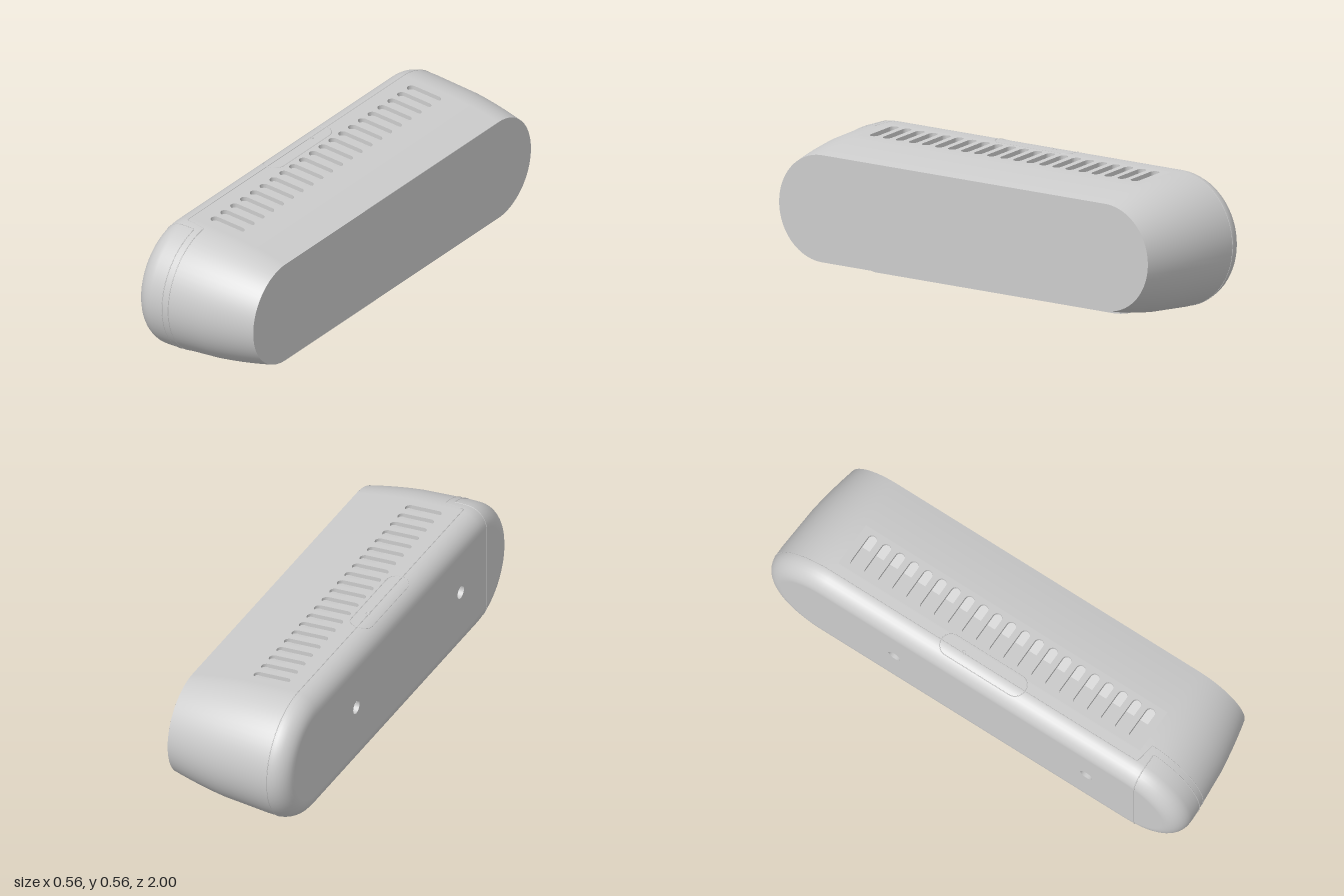
import * as THREE from 'three';

const R = 0.2765, CY = 0.2795, L = 0.7235;   // stadium section: radius, centre height, half straight length
const EDGE = 0.085, XB = -0.278, XF = 0.278; // back edge rounding, back and front planes
const XR = XB + EDGE;                        // where the rounding ends and the taper begins
const XA = -0.15, XC = 0.05;                 // span of the slotted panels
const PITCH = 0.0667, ARC = 32;

const mat = new THREE.MeshStandardMaterial({ color: 0xcccccc, side: THREE.DoubleSide });

const taper = x => 0.057 * ((x - XR) / (XF - XR)) ** 2;
const radius = x => {
  if (x < XR) return R - EDGE + Math.sqrt(Math.max(0, EDGE ** 2 - (x - XR) ** 2));
  if (x > XA && x < XC) return R - THREE.MathUtils.mapLinear(x, XA, XC, taper(XA), taper(XC));
  return R - taper(x);
};
const topY = x => CY + radius(x);
const bottomY = x => CY - radius(x);

function add(group, name, geometry) {
  const mesh = new THREE.Mesh(geometry, mat);
  mesh.name = name;
  group.add(mesh);
  return mesh;
}

// Stadium outline centred on (cx, cy); wide = straight run along the first axis
function stadium(cx, cy, half, r, wide, Type = THREE.Path) {
  const p = new Type(), q = Math.PI / 2;
  if (wide) {
    p.absarc(cx + half, cy, r, -q, q);
    p.absarc(cx - half, cy, r, q, 3 * q);
  } else {
    p.absarc(cx, cy + half, r, 0, 2 * q);
    p.absarc(cx, cy - half, r, 2 * q, 4 * q);
  }
  p.closePath();
  return p;
}

function circle(cx, cy, r) {
  return new THREE.Path().absarc(cx, cy, r, 0, Math.PI * 2);
}

function rect(x0, x1, halfZ) {
  return new THREE.Shape([[x0, -halfZ], [x1, -halfZ], [x1, halfZ], [x0, halfZ]].map(p => new THREE.Vector2(...p)));
}

// Horizontal plate from a shape in (x, -z), whose base follows yAt(x)
function plate(shape, depth, yAt) {
  const g = new THREE.ExtrudeGeometry(shape, { depth, bevelEnabled: false, curveSegments: 10 });
  g.rotateX(-Math.PI / 2);
  const p = g.attributes.position;
  for (let i = 0; i < p.count; i++) p.setY(i, p.getY(i) + yAt(p.getX(i)));
  g.computeVertexNormals();
  return g;
}

// Body skin: stadium rings along x, leaving the slotted panels open
function shellGeometry() {
  const rings = [];
  for (let i = 0; i <= 8; i++) {
    const a = i / 8 * Math.PI / 2;
    rings.push([XR - EDGE * Math.cos(a), -Math.cos(a), Math.sin(a)]);
  }
  for (const x of [XA, XC, 0.1, 0.15, 0.2, 0.24, XF]) {
    const slope = 2 * 0.057 * (x - XR) / (XF - XR) ** 2, len = Math.hypot(1, slope);
    rings.push([x, slope / len, 1 / len]);
  }
  const pos = [], nor = [], index = [], count = 2 * (ARC + 1);
  for (const [x, nx, nr] of rings) {
    for (let j = 0; j < count; j++) {
      const right = j <= ARC;
      const t = Math.PI * (right ? j / ARC : 1 + (j - ARC - 1) / ARC), r = radius(x);
      pos.push(x, CY + r * Math.cos(t), (right ? L : -L) + r * Math.sin(t));
      nor.push(nx, nr * Math.cos(t), nr * Math.sin(t));
    }
  }
  for (let i = 0; i < rings.length - 1; i++) {
    for (let j = 0; j < count; j++) {
      const flat = j === ARC || j === count - 1;
      if (flat && rings[i][0] === XA) continue;
      const k = (j + 1) % count, a = i * count + j, b = i * count + k;
      index.push(a, b, b + count, a, b + count, a + count);
    }
  }
  const g = new THREE.BufferGeometry();
  g.setAttribute('position', new THREE.Float32BufferAttribute(pos, 3));
  g.setAttribute('normal', new THREE.Float32BufferAttribute(nor, 3));
  g.setIndex(index);
  return g;
}

// Fine bead through straight-linked points
function bead(points, segments) {
  const path = new THREE.CurvePath();
  for (let i = 1; i < points.length; i++) {
    if (points[i].distanceTo(points[i - 1]) > 1e-5) path.add(new THREE.LineCurve3(points[i - 1], points[i]));
  }
  return new THREE.TubeGeometry(path, segments, 0.002, 5, false);
}

// Points over the rounded end on side s, from top to bottom
function endArc(x, s, t0 = 0) {
  return Array.from({ length: ARC + 1 }, (_, i) => {
    const t = t0 + (Math.PI - 2 * t0) * i / ARC, r = radius(x);
    return new THREE.Vector3(x, CY + r * Math.cos(t), s * (L + r * Math.sin(t)));
  });
}

export function createModel() {
  const model = new THREE.Group();
  model.name = 'speakerBody';
  add(model, 'shell', shellGeometry());

  // Flat front and back faces
  const face = new THREE.ShapeGeometry(stadium(0, CY, L, radius(XF), true, THREE.Shape), ARC);
  add(model, 'frontFace', face.rotateY(Math.PI / 2)).position.x = XF;
  const back = stadium(0, CY, L, radius(XB), true, THREE.Shape);
  const mounts = [-0.37, 0.55];
  for (const z of mounts) back.holes.push(circle(z, 0.295, 0.028));
  add(model, 'backFace', new THREE.ShapeGeometry(back, ARC).rotateY(-Math.PI / 2)).position.x = XB;

  // Mounting sockets in the back
  for (const z of mounts) {
    const tube = add(model, 'mountSocket', new THREE.CylinderGeometry(0.028, 0.028, 0.06, 20, 1, true).rotateZ(Math.PI / 2));
    tube.position.set(XB + 0.03, 0.295, z);
    const end = add(model, 'mountSocketEnd', new THREE.CircleGeometry(0.028, 20).rotateY(-Math.PI / 2));
    end.position.set(XB + 0.06, 0.295, z);
  }

  // Top grille with ramped slot floors
  const top = rect(XA, XC, L);
  for (let k = -10; k <= 10; k++) top.holes.push(stadium(-0.05, k * PITCH, 0.06, 0.02, true));
  add(model, 'topGrille', plate(top, 0.018, x => topY(x) - 0.018));
  const ramp = new THREE.Shape([[XA, -0.05], [XC, -0.05], [XC, -0.018], [0.03, -0.012], [-0.03, -0.028], [XA, -0.028]]
    .map(([x, y]) => new THREE.Vector2(x, topY(x) + y)));
  const rampGeo = new THREE.ExtrudeGeometry(ramp, { depth: 1.42, bevelEnabled: false });
  add(model, 'topSlotFloor', rampGeo).position.z = -0.71;

  // Bottom vents: the panel and the raised foot share the same openings
  const openings = () => {
    const list = [circle(-0.068, 0, 0.058)];
    for (const s of [-1, 1]) {
      for (let k = 2; k <= 9; k++) list.push(stadium(-0.065, s * k * PITCH, 0.063, 0.017, true));
    }
    return list;
  };
  const panel = rect(XA, XC, L);
  panel.holes = openings();
  add(model, 'bottomPanel', plate(panel, 0.02, bottomY));
  const foot = new THREE.Shape();
  const fx = [-0.19, 0.078], fz = 0.655, c = 0.05;
  foot.absarc(fx[1] - c, fz - c, c, 0, Math.PI / 2);
  foot.absarc(fx[0] + c, fz - c, c, Math.PI / 2, Math.PI);
  foot.absarc(fx[0] + c, c - fz, c, Math.PI, 1.5 * Math.PI);
  foot.absarc(fx[1] - c, c - fz, c, 1.5 * Math.PI, 2 * Math.PI);
  foot.holes = openings();
  add(model, 'foot', plate(foot, 0.022, () => 0));
  const floor = rect(XA, XC, L);
  floor.holes.push(circle(-0.068, 0, 0.058));
  add(model, 'ventFloor', plate(floor, 0.01, () => 0.04));
  const socket = add(model, 'threadSocket', new THREE.CylinderGeometry(0.058, 0.058, 0.1, 28, 1, true));
  socket.position.set(-0.068, 0.06, 0);
  add(model, 'threadSocketEnd', new THREE.CircleGeometry(0.058, 28).rotateX(Math.PI / 2)).position.set(-0.068, 0.11, 0);
  const ring = add(model, 'socketRing', new THREE.TorusGeometry(0.095, 0.0015, 5, 40).rotateX(Math.PI / 2));
  ring.position.set(-0.068, 0.001, 0);

  // Seams of the back cover and end cap
  const v = (x, y, z) => new THREE.Vector3(x, y, z);
  const step = endArc(-0.105, 1, 0.11);
  const xs = -0.195;
  add(model, 'coverSeam', bead([
    step[0], v(xs, topY(xs), 0.74), ...endArc(xs, -1),
    v(xs, bottomY(xs), 0.74), ...step.reverse(),
  ], 320));
  const cap = endArc(-0.134, 1, 0.2);
  const across = [];
  for (let i = 0; i <= 10; i++) {
    const x = XB + (-0.134 - XB) * (1 - Math.cos(i / 10 * Math.PI / 2));
    const z = 0.778, r = radius(x);
    across.push(v(x, CY + Math.sqrt(r * r - (z - L) ** 2), z));
  }
  const under = across.map(p => v(p.x, 2 * CY - p.y, p.z)).reverse();
  add(model, 'capSeam', bead([...across, ...cap, ...under, across[0]], 260));

  // Latch outline and pin hole on the top edge
  const outline = stadium(-0.192, 0, 0.155, 0.046, false).getPoints(16);
  add(model, 'latchOutline', bead(outline.map(p => v(p.x, topY(p.x), p.y)), 120));
  const pin = add(model, 'latchPin', new THREE.TorusGeometry(0.008, 0.0015, 5, 16).rotateX(Math.PI / 2));
  pin.position.set(-0.19, topY(-0.19), -0.095);

  return model;
}
